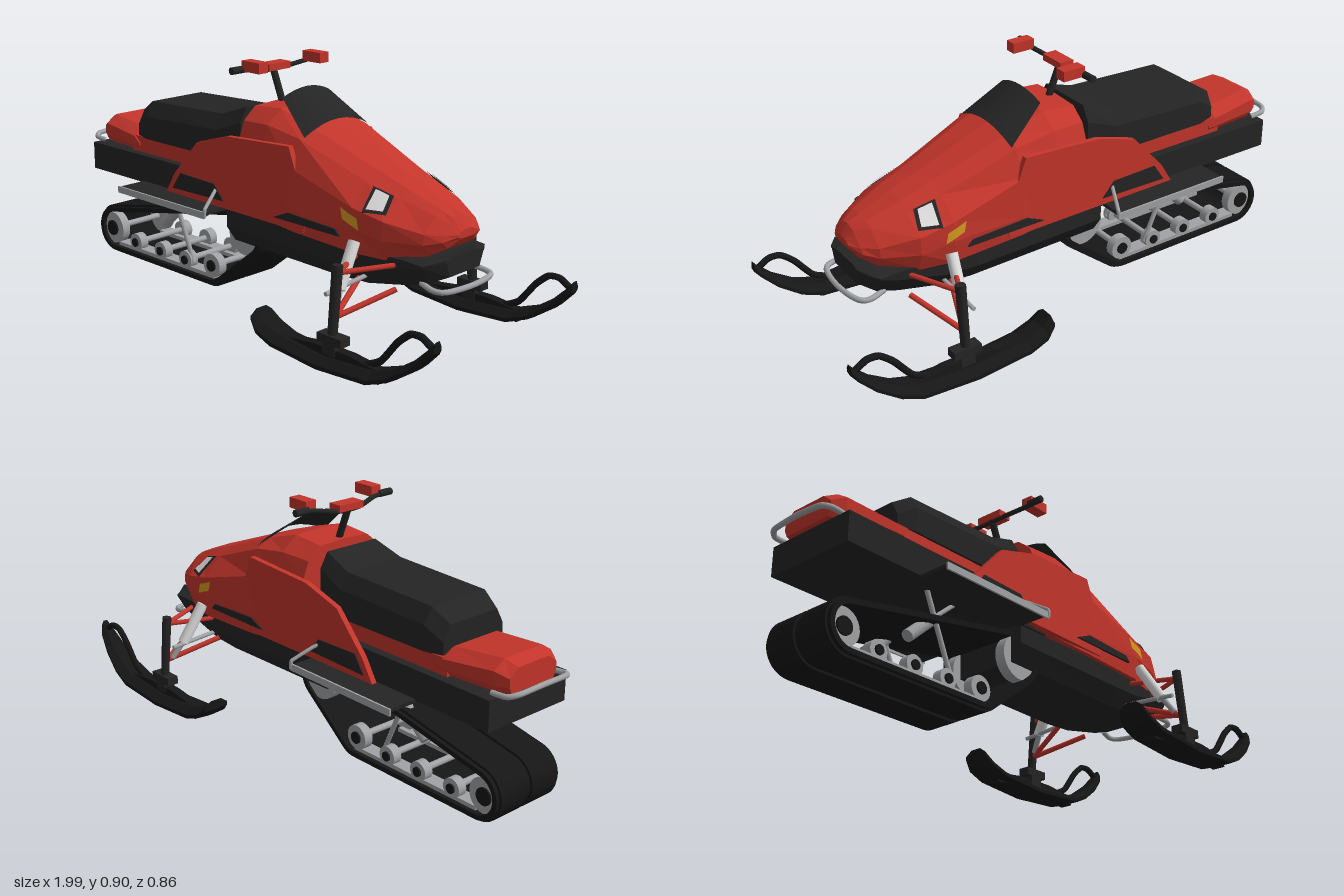
import * as THREE from 'three';

const mat = (name, color, side = THREE.FrontSide) => {
  const m = new THREE.MeshStandardMaterial({ color, side });
  m.name = name;
  return m;
};
const V = (p) => new THREE.Vector3(...p);

// Flat-shaded geometry from loose triangles
function facets(tris) {
  const g = new THREE.BufferGeometry();
  g.setAttribute('position', new THREE.Float32BufferAttribute(tris.flat(2), 3));
  g.computeVertexNormals();
  return g;
}

// Closed solid through rings of points, turned outwards by its signed volume
function loft(rings) {
  let tris = [];
  const n = rings[0].length;
  for (let i = 0; i + 1 < rings.length; i++) {
    for (let j = 0; j < n; j++) {
      const k = (j + 1) % n, a = rings[i], b = rings[i + 1];
      tris.push([a[j], b[j], b[k]], [a[j], b[k], a[k]]);
    }
  }
  const cap = (r, flip) => {
    const c = [0, 1, 2].map((i) => r.reduce((s, p) => s + p[i], 0) / n);
    r.forEach((p, j) => tris.push(flip ? [c, r[(j + 1) % n], p] : [c, p, r[(j + 1) % n]]));
  };
  cap(rings[0], false);
  cap(rings[rings.length - 1], true);
  const volume = tris.reduce((s, [a, b, c]) => s + V(a).dot(V(b).cross(V(c))), 0);
  if (volume < 0) tris = tris.map(([a, b, c]) => [a, c, b]);
  return facets(tris);
}

// Symmetric ring at x from half-section points [z, y], the first on the centre line
const ring = (x, half) => [
  ...half.map(([z, y]) => [x, y, z]),
  ...half.slice(1).reverse().map(([z, y]) => [x, y, -z]),
];

// Surface sheet from f(u, v)
function sheet(f, n = 4, m = 4) {
  const tris = [];
  for (let i = 0; i < n; i++) {
    for (let j = 0; j < m; j++) {
      const a = f(i / n, j / m), b = f((i + 1) / n, j / m);
      const c = f((i + 1) / n, (j + 1) / m), d = f(i / n, (j + 1) / m);
      tris.push([a, b, c], [a, c, d]);
    }
  }
  return facets(tris);
}

// Copy on the other side, with the corner order reversed
function mirror(geo) {
  const g = geo.index ? geo.toNonIndexed() : geo.clone();
  g.scale(1, 1, -1);
  for (const a of Object.values(g.attributes)) {
    const s = a.itemSize;
    for (let i = 0; i < a.count; i += 3) {
      for (let k = 0; k < s; k++) {
        const p = (i + 1) * s + k, q = (i + 2) * s + k;
        [a.array[p], a.array[q]] = [a.array[q], a.array[p]];
      }
    }
  }
  return g;
}

const box = (x0, x1, y0, y1, z0, z1) =>
  new THREE.BoxGeometry(x1 - x0, y1 - y0, z1 - z0).translate((x0 + x1) / 2, (y0 + y1) / 2, (z0 + z1) / 2);
function rod(a, b, r, r2 = r, sides = 10) {
  const d = V(b).sub(V(a));
  const q = new THREE.Quaternion().setFromUnitVectors(new THREE.Vector3(0, 1, 0), d.clone().normalize());
  return new THREE.CylinderGeometry(r2, r, d.length(), sides).applyQuaternion(q)
    .translate(...V(a).add(V(b)).multiplyScalar(0.5).toArray());
}
const tube = (pts, r, tension = 0.3) => new THREE.TubeGeometry(
  new THREE.CatmullRomCurve3(pts.map(V), false, 'catmullrom', tension), 40, r, 8);
const plate = (pts, z0, depth) => new THREE.ExtrudeGeometry(
  new THREE.Shape(pts.map((p) => new THREE.Vector2(...p))), { depth, bevelEnabled: false }).translate(0, 0, z0);
const disc = (x, y, r, z0, z1) =>
  new THREE.CylinderGeometry(r, r, z1 - z0, 24).rotateX(Math.PI / 2).translate(x, y, (z0 + z1) / 2);

// Hood half-sections: x, then [z, y] from the crown to the lower edge
const HOOD = [
  [-0.06, [[0, 0.735], [0.11, 0.73], [0.165, 0.685], [0.19, 0.62], [0.195, 0.45], [0.19, 0.36]]],
  [0.07, [[0, 0.745], [0.11, 0.74], [0.175, 0.69], [0.2, 0.62], [0.203, 0.45], [0.195, 0.355]]],
  [0.22, [[0, 0.705], [0.11, 0.697], [0.17, 0.665], [0.213, 0.57], [0.215, 0.42], [0.205, 0.345]]],
  [0.5, [[0, 0.6], [0.08, 0.59], [0.135, 0.56], [0.212, 0.49], [0.217, 0.42], [0.205, 0.335]]],
  [0.62, [[0, 0.555], [0.07, 0.548], [0.11, 0.525], [0.198, 0.465], [0.2, 0.4], [0.175, 0.33]]],
  [0.74, [[0, 0.505], [0.05, 0.5], [0.08, 0.485], [0.135, 0.435], [0.14, 0.4], [0.11, 0.358]]],
  [0.785, [[0, 0.485], [0.035, 0.475], [0.055, 0.46], [0.09, 0.43], [0.1, 0.41], [0.07, 0.385]]],
  [0.81, [[0, 0.445], [0.02, 0.443], [0.035, 0.438], [0.05, 0.43], [0.05, 0.422], [0.03, 0.415]]],
];
// Point on the hood at x and section position u, raised by lift
function hoodPoint(x, u, lift) {
  let i = 0;
  while (i < HOOD.length - 2 && HOOD[i + 1][0] < x) i++;
  const [x0, a] = HOOD[i], [x1, b] = HOOD[i + 1];
  const t = (x - x0) / (x1 - x0), k = Math.min(4, Math.floor(u)), w = u - k;
  const at = (c) => THREE.MathUtils.lerp(
    THREE.MathUtils.lerp(a[k][c], a[k + 1][c], w), THREE.MathUtils.lerp(b[k][c], b[k + 1][c], w), t);
  return [x, at(1) + (u < 3 ? lift * 0.7 : 0), at(0) + lift];
}
// Patch on the hood between four [x, u] corners
const hoodPatch = ([a, b, c, d], lift) => sheet((s, t) => {
  const at = (i) => THREE.MathUtils.lerp(
    THREE.MathUtils.lerp(a[i], b[i], s), THREE.MathUtils.lerp(d[i], c[i], s), t);
  return hoodPoint(at(0), at(1), lift);
});

// Track loop around three wheel centres
function loop(target, r) {
  const rad = THREE.MathUtils.degToRad;
  target.absarc(-0.86, 0.1, r, rad(101), rad(270), false);
  target.absarc(-0.28, 0.1, r, rad(270), rad(308), false);
  target.absarc(-0.09, 0.25, r, rad(-52), rad(101), false);
  target.closePath();
  return target;
}
function belt(r, rIn, z0, z1) {
  const s = loop(new THREE.Shape(), r);
  s.holes.push(loop(new THREE.Path(), rIn));
  return new THREE.ExtrudeGeometry(s, { depth: z1 - z0, bevelEnabled: false, curveSegments: 14 }).translate(0, 0, z0);
}

export function createModel() {
  const red = mat('red paint', 0xc4352b);
  const black = mat('black plastic', 0x242424, THREE.DoubleSide);
  const rubber = mat('dark rubber', 0x161616);
  const silver = mat('silver metal', 0xa2a3a6);
  const lamp = mat('lamp glass', 0xdedede, THREE.DoubleSide);
  const amber = mat('amber reflector', 0xd39a1e, THREE.DoubleSide);
  const model = new THREE.Group();
  model.name = 'snowmobile';
  const add = (name, geo, m) => {
    const mesh = new THREE.Mesh(geo, m);
    mesh.name = name;
    model.add(mesh);
  };
  const pair = (name, geo, m) => {
    add(name + 'Left', geo, m);
    add(name + 'Right', mirror(geo), m);
  };

  // Hood, side panels and their details
  add('hood', loft(HOOD.map(([x, h]) => ring(x, h))), red);
  pair('sidePanel', plate([[-0.44, 0.36], [-0.39, 0.44], [-0.26, 0.58], [-0.1, 0.628], [0.21, 0.645],
    [0.24, 0.57], [0.29, 0.4], [0.28, 0.355]], 0.192, 0.021), red);
  pair('panelVent', plate([[-0.4, 0.38], [-0.355, 0.445], [-0.17, 0.44], [-0.12, 0.385]], 0.21, 0.007), black);
  pair('hoodVent', plate([[0.14, 0.383], [0.21, 0.413], [0.43, 0.404], [0.45, 0.382]], 0.211, 0.008), black);
  pair('headlightFrame', hoodPatch([[0.525, 2.02], [0.6, 2.02], [0.618, 2.75], [0.54, 3]], 0.004), black);
  pair('headlight', hoodPatch([[0.54, 2.08], [0.59, 2.08], [0.605, 2.68], [0.55, 2.86]], 0.008), lamp);
  pair('reflector', hoodPatch([[0.455, 3.2], [0.525, 3.35], [0.535, 3.9], [0.465, 3.65]], 0.006), amber);
  add('windshield', sheet((u, v) => {
    const s = 2 * u - 1, bow = 1 - s * s;
    return [0.085 + 0.15 * v + 0.005 * bow, 0.78 - 0.11 * v + (0.027 + 0.017 * v) * bow, s * (0.117 + 0.045 * v)];
  }, 8, 2), black);

  // Belly pan and front bumper
  add('bellyPan', loft([[-0.135, 0.185, 0.22, 0.36], [0.4, 0.19, 0.215, 0.36], [0.52, 0.185, 0.22, 0.36],
    [0.68, 0.17, 0.25, 0.36], [0.76, 0.165, 0.275, 0.355], [0.805, 0.1, 0.295, 0.36]].map(([x, w, lo, hi]) =>
    ring(x, [[0, hi], [w * 0.6, hi], [w, hi - 0.015], [w, lo + 0.06], [w * 0.78, lo], [w * 0.4, lo]]))), black);
  add('frontBumper', tube([[0.73, 0.27, 0.13], [0.79, 0.26, 0.14], [0.825, 0.258, 0.11], [0.84, 0.258, 0],
    [0.825, 0.258, -0.11], [0.79, 0.26, -0.14], [0.73, 0.27, -0.13]], 0.01, 0.5), silver);

  // Tunnel, seat and tail
  add('tunnel', box(-0.93, 0, 0.352, 0.46, -0.183, 0.183), black);
  add('seatBase', box(-0.72, -0.06, 0.455, 0.522, -0.15, 0.15), red);
  add('tail', loft([[-0.945, 0.11, 0.545], [-0.9, 0.135, 0.565], [-0.7, 0.155, 0.548], [-0.67, 0.155, 0.522]].map(
    ([x, w, top]) => ring(x, [[0, top], [w * 0.65, top], [w, top - 0.03], [w, 0.485], [w * 0.9, 0.462]]))), red);
  add('seat', loft([[-0.69, 0.14, 0.62], [-0.62, 0.158, 0.665], [-0.22, 0.16, 0.678], [-0.1, 0.145, 0.72]].map(
    ([x, w, top]) => ring(x, [[0, top], [w * 0.78, top], [w, top - 0.055], [w, 0.52]]))), black);
  add('rearBumper', tube([[-0.9, 0.465, 0.14], [-0.96, 0.47, 0.14], [-0.985, 0.478, 0.11], [-0.99, 0.482, 0],
    [-0.985, 0.478, -0.11], [-0.96, 0.47, -0.14], [-0.9, 0.465, -0.14]], 0.01), silver);

  // Running boards and toe holds
  pair('runningBoard', box(-0.615, -0.13, 0.345, 0.358, 0.18, 0.3), black);
  pair('boardEdge', box(-0.62, -0.125, 0.335, 0.36, 0.298, 0.305), silver);
  pair('toeHold', tube([[-0.17, 0.425, 0.2], [-0.155, 0.41, 0.23], [-0.125, 0.37, 0.3], [-0.125, 0.34, 0.302]], 0.007, 0.1), silver);

  // Track, wheels and rear suspension
  add('trackBelt', belt(0.09, 0.072, -0.15, 0.15), rubber);
  pair('trackTread', belt(0.099, 0.088, 0.012, 0.135), rubber);
  for (const [x, y, r] of [[-0.885, 0.097, 0.065], [-0.74, 0.066, 0.036], [-0.585, 0.066, 0.036],
    [-0.435, 0.066, 0.036], [-0.28, 0.08, 0.046]]) {
    pair('wheel', disc(x, y, r, 0.1, 0.135), silver);
    pair('wheelHub', disc(x, y, r * 0.48, 0.134, 0.142), rubber);
    add('axle', disc(x, y, 0.012, -0.11, 0.11), silver);
  }
  pair('driveSprocket', disc(-0.09, 0.25, 0.082, 0.1, 0.14), silver);
  pair('slideRail', box(-0.85, -0.27, 0.03, 0.045, 0.08, 0.135), silver);
  pair('suspensionArm', rod([-0.53, 0.36, 0.12], [-0.4, 0.06, 0.12], 0.009), silver);
  pair('supportArm', rod([-0.38, 0.36, 0.1], [-0.58, 0.19, 0.1], 0.008), silver);
  pair('rearShock', rod([-0.49, 0.265, 0.1], [-0.59, 0.175, 0.1], 0.022), silver);

  // Front suspension
  pair('spindle', rod([0.565, 0.345, 0.348], [0.565, 0.1, 0.37], 0.019, 0.017, 6), black);
  pair('skiSaddle', box(0.515, 0.62, 0.085, 0.115, 0.345, 0.39), black);
  pair('skiBracket', box(0.54, 0.595, 0.03, 0.1, 0.345, 0.39), black);
  for (const x of [0.49, 0.65]) {
    pair('upperArm', rod([0.565, 0.318, 0.348], [x, 0.32, 0.17], 0.009), red);
    pair('lowerArm', rod([0.565, 0.17, 0.358], [x, 0.235, 0.16], 0.01), red);
  }
  pair('shockBody', rod([0.53, 0.24, 0.3], [0.515, 0.38, 0.215], 0.021), lamp);
  pair('shockShaft', rod([0.55, 0.18, 0.34], [0.53, 0.25, 0.295], 0.011), silver);
  pair('tieRod', rod([0.52, 0.235, 0.355], [0.52, 0.25, 0.16], 0.008), silver);

  // Skis with grab loops
  const Z = 0.368;
  pair('ski', loft([[0.235, 0.085, 0.05], [0.27, 0.05, 0.062], [0.34, 0.025, 0.064], [0.55, 0.008, 0.064],
    [0.76, 0.02, 0.062], [0.84, 0.05, 0.055], [0.92, 0.105, 0.042], [0.975, 0.16, 0.028], [0.99, 0.18, 0.018]].map(
    ([x, y, w]) => [[-w, 0], [-w, 0.014], [-w * 0.45, 0.034], [w * 0.45, 0.034], [w, 0.014], [w, 0],
      [w * 0.2, -0.004], [-w * 0.2, -0.004]].map(([z, h]) => [x, y + h, Z + z]))), rubber);
  pair('skiRidge', loft([[0.34, 0.05], [0.5, 0.07], [0.65, 0.07], [0.78, 0.055]].map(([x, top]) =>
    [[-0.025, top - 0.04], [-0.018, top], [0.018, top], [0.025, top - 0.04]].map(([z, y]) => [x, y, Z + z]))), rubber);
  pair('skiLoop', tube([[0.7, 0.05, Z], [0.77, 0.085, Z], [0.835, 0.165, Z], [0.885, 0.207, Z], [0.93, 0.21, Z],
    [0.982, 0.18, Z]], 0.012), rubber);

  // Steering
  add('steeringPost', rod([-0.02, 0.7, 0], [-0.085, 0.86, 0], 0.013), black);
  add('handlebar', tube([[-0.06, 0.868, 0.2], [-0.06, 0.862, 0.14], [-0.08, 0.848, 0.06], [-0.083, 0.845, 0],
    [-0.08, 0.848, -0.06], [-0.06, 0.862, -0.14], [-0.06, 0.868, -0.2]], 0.009), black);
  pair('grip', disc(-0.06, 0.868, 0.013, 0.165, 0.223), black);
  pair('handGuard', box(-0.06, 0.028, 0.862, 0.9, 0.13, 0.174), red);
  add('barPad', box(-0.1, -0.045, 0.847, 0.872, -0.054, 0.054), red);
  return model;
}
